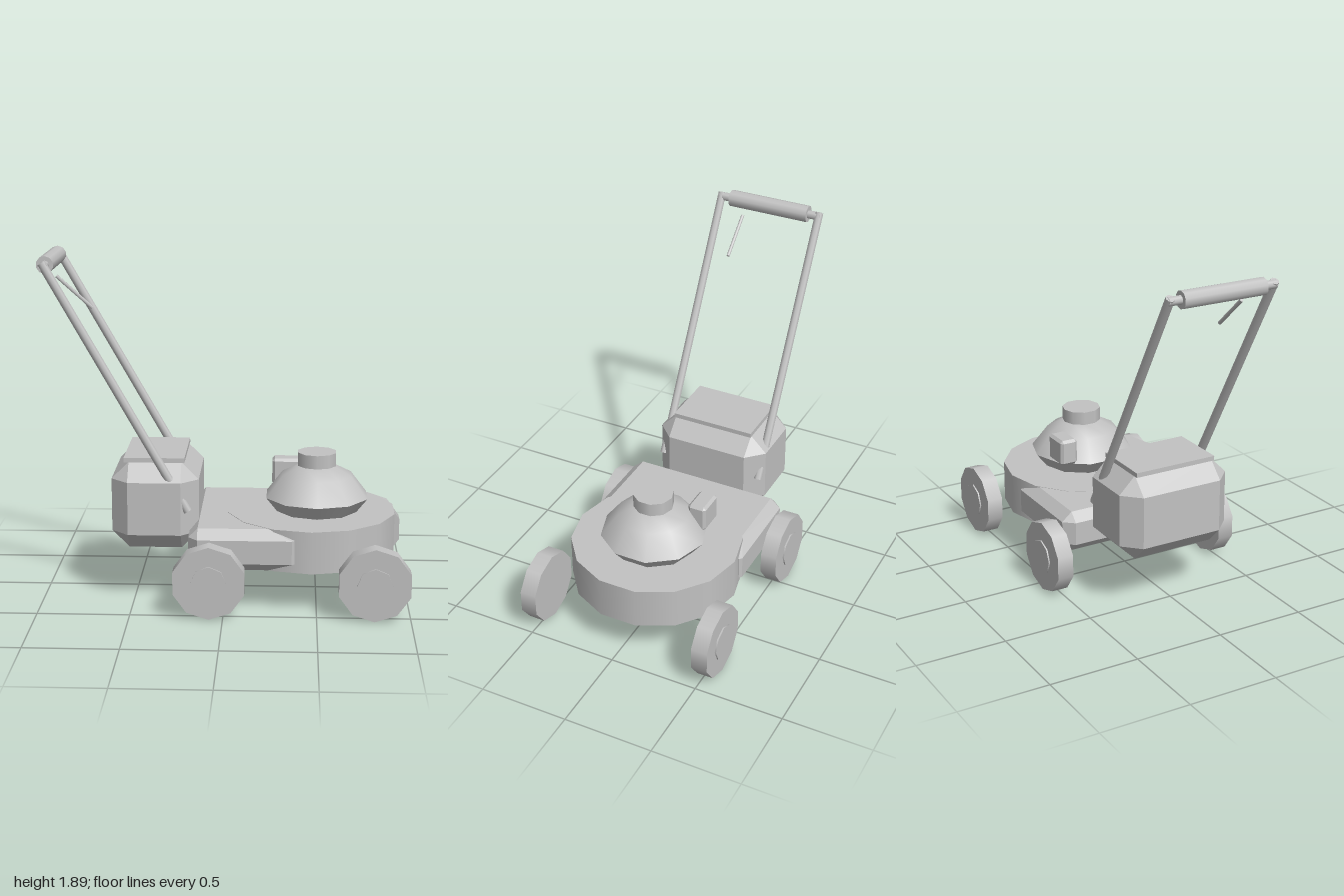
import * as THREE from 'three';
import { ConvexGeometry } from 'three/addons/geometries/ConvexGeometry.js';

export function createModel() {
  const root = new THREE.Group();
  root.name = 'lawnMower';
  const grey = new THREE.MeshStandardMaterial({ color: 0xc2c2c2 });
  grey.name = 'grey';
  const V = (x, y, z) => new THREE.Vector3(x, y, z);

  const add = (name, geometry, x = 0, y = 0, z = 0) => {
    const mesh = new THREE.Mesh(geometry, grey);
    mesh.name = name;
    mesh.position.set(x, y, z);
    root.add(mesh);
    return mesh;
  };

  // Box with every edge cut off at 45 degrees
  const bevelBox = (w, h, d, b) => {
    const pts = [];
    for (const i of [-1, 1]) for (const j of [-1, 1]) for (const k of [-1, 1]) {
      const [x, y, z] = [i * w / 2, j * h / 2, k * d / 2];
      pts.push(V(x, y - j * b, z - k * b), V(x - i * b, y, z - k * b), V(x - i * b, y - j * b, z));
    }
    return new ConvexGeometry(pts);
  };

  // Straight tube between two points
  const rod = (name, a, b, r, sides = 8) => {
    const mesh = add(name, new THREE.CylinderGeometry(r, r, a.distanceTo(b), sides));
    mesh.position.copy(a).add(b).multiplyScalar(0.5);
    mesh.quaternion.setFromUnitVectors(V(0, 1, 0), b.clone().sub(a).normalize());
    return mesh;
  };

  // Deck: round cutting housing and bevelled rear body
  add('deckHousing', new THREE.CylinderGeometry(0.47, 0.47, 0.232, 14), 0.47, 0.346, 0);
  const body = [];
  for (const s of [-1, 1]) {
    for (const [outerY, midY] of [[0.46, 0.41], [0.23, 0.28]]) {
      body.push(
        V(-0.14, outerY, s * 0.41), V(0.24, outerY, s * 0.41),
        V(-0.19, midY, s * 0.41), V(-0.14, midY, s * 0.468),
        V(0.365, midY, s * 0.468), V(0.38, midY, s * 0.455),
      );
    }
  }
  add('deckBody', new ConvexGeometry(body));

  // Engine: lower skirt, domed cover, starter cap and fuel tank
  const lathe = (pts) => new THREE.LatheGeometry(pts.map(([r, y]) => new THREE.Vector2(r, y)), 10);
  add('engineSkirt', lathe([[0.225, 0.455], [0.292, 0.54]]), 0.5, 0, 0);
  add('engineDome', lathe([[0.292, 0.54], [0.2, 0.66], [0.1, 0.712], [0, 0.715]]), 0.5, 0, 0);
  add('starterCap', new THREE.CylinderGeometry(0.11, 0.11, 0.075, 10), 0.5, 0.75, 0);
  add('fuelTank', bevelBox(0.16, 0.15, 0.105, 0.015), 0.33, 0.625, -0.21);

  // Grass bag and its lid
  add('grassBag', bevelBox(0.475, 0.48, 0.66, 0.094), -0.38, 0.538, 0);
  add('bagLid', new THREE.BoxGeometry(0.33, 0.026, 0.48), -0.385, 0.788, 0);

  // Wheels with raised hubs
  for (const x of [-0.075, 0.807]) {
    for (const s of [-1, 1]) {
      const end = s < 0 ? 'Right' : 'Left';
      const axle = x < 0 ? 'rear' : 'front';
      const tyre = new THREE.CylinderGeometry(0.2, 0.2, 0.092, 10).rotateX(Math.PI / 2);
      const hub = new THREE.CylinderGeometry(0.096, 0.096, 0.03, 8).rotateX(Math.PI / 2);
      add(`${axle}${end}Wheel`, tyre, x, 0.2, s * 0.516);
      add(`${axle}${end}Hub`, hub, x, 0.2, s * 0.555);
    }
  }

  // Push handle: two legs, crossbar, grip and brake lever
  for (const s of [-1, 1]) {
    rod(s < 0 ? 'rightHandleLeg' : 'leftHandleLeg', V(-0.96, 1.863, s * 0.3), V(-0.2, 0.522, s * 0.3), 0.024);
  }
  rod('handleCrossbar', V(-0.952, 1.845, -0.312), V(-0.952, 1.845, 0.312), 0.024);
  rod('handleGrip', V(-0.953, 1.845, -0.238), V(-0.953, 1.845, 0.238), 0.047, 10);
  rod('brakeLever', V(-0.905, 1.775, 0.145), V(-0.715, 1.605, 0.145), 0.01, 6);

  for (const part of root.children) part.position.z -= 0.004;
  return root;
}
